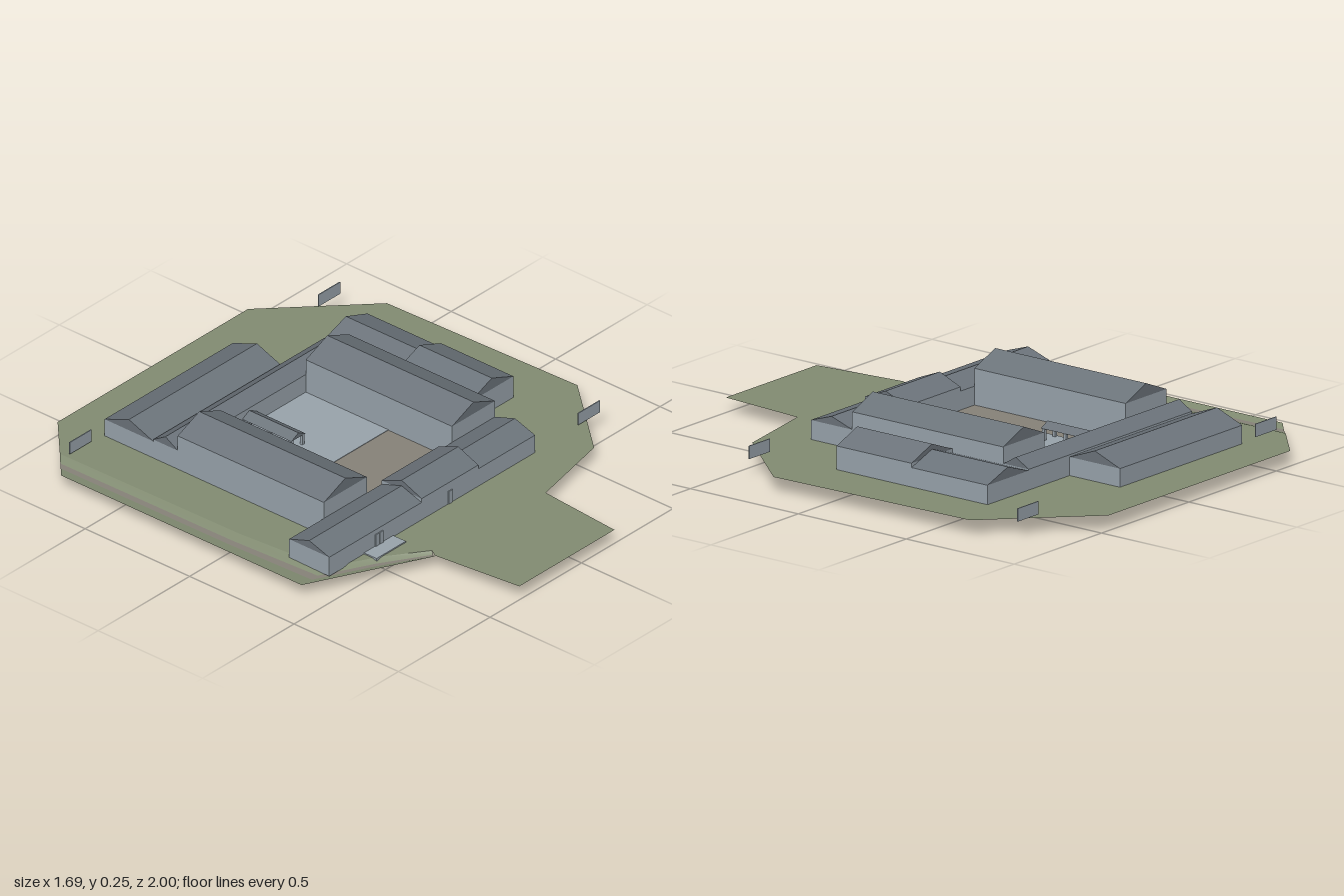
import * as THREE from 'three';

const mat = (name, color, side = THREE.FrontSide) => {
  const m = new THREE.MeshStandardMaterial({ color, side });
  m.name = name;
  return m;
};

export function createModel() {
  const root = new THREE.Group();
  root.name = 'courtyardCompound';
  const wall = mat('paleGreyWall', 0x9aa5ad);
  const roof = mat('slateRoof', 0x6c747b);
  const grass = mat('grass', 0x838d73, THREE.DoubleSide);
  const earth = mat('earth', 0x88837a, THREE.DoubleSide);
  const BASE = 0.05, GROUND = 0.057;

  const add = (parent, name, geo, material) => {
    const m = new THREE.Mesh(geo, material);
    m.name = name;
    parent.add(m);
    return m;
  };
  // Box given by its min and max on each axis
  const block = (parent, name, x0, x1, y0, y1, z0, z1, material = wall) => {
    const m = add(parent, name, new THREE.BoxGeometry(x1 - x0, y1 - y0, z1 - z0), material);
    m.position.set((x0 + x1) / 2, (y0 + y1) / 2, (z0 + z1) / 2);
    return m;
  };
  // Gabled prism whose ridge runs along x or z
  const gable = (parent, name, x0, x1, z0, z1, eave, ridge, axis) => {
    const span = axis === 'z' ? x1 - x0 : z1 - z0;
    const length = axis === 'z' ? z1 - z0 : x1 - x0;
    const s = new THREE.Shape();
    s.moveTo(-span / 2, 0).lineTo(span / 2, 0).lineTo(0, ridge - eave).closePath();
    const geo = new THREE.ExtrudeGeometry(s, { depth: length, bevelEnabled: false });
    geo.translate(0, 0, -length / 2);
    if (axis === 'x') geo.rotateY(Math.PI / 2);
    add(parent, name, geo, roof).position.set((x0 + x1) / 2, eave, (z0 + z1) / 2);
  };
  const house = (name, x0, x1, z0, z1, eave, ridge, axis) => {
    const g = new THREE.Group();
    g.name = name;
    block(g, 'walls', x0, x1, BASE, eave, z0, z1);
    gable(g, 'roof', x0, x1, z0, z1, eave, ridge, axis);
    root.add(g);
  };

  // Main buildings
  [
    ['westHall', -0.54, -0.305, -0.46, 0.24, 0.197, 0.246, 'z'],
    ['eastHall', 0.16, 0.395, -0.46, 0.24, 0.197, 0.246, 'z'],
    ['frontWestRange', -0.73, -0.225, 0.24, 0.432, 0.13, 0.162, 'x'],
    ['gateHouse', -0.225, 0.085, 0.24, 0.432, 0.146, 0.185, 'x'],
    ['frontEastRange', 0.085, 0.395, 0.24, 0.432, 0.13, 0.162, 'x'],
    ['crossRange', -0.54, 0.395, -0.577, -0.46, 0.135, 0.17, 'x'],
    ['backRange', -0.54, 0.16, -0.81, -0.577, 0.127, 0.172, 'x'],
    ['eastHouseFront', 0.395, 0.63, -0.225, 0.122, 0.146, 0.192, 'z'],
    ['eastHouseBack', 0.395, 0.63, -0.577, -0.225, 0.13, 0.172, 'z'],
  ].forEach((h) => house(...h));

  // Courtyard floor and the deep basin set into it
  block(root, 'courtyard', -0.305, 0.16, 0.052, 0.059, -0.46, 0.24, earth);
  block(root, 'basin', -0.19, 0.16, 0, 0.061, -0.46, -0.065);

  // Covered walk into the courtyard
  const walk = new THREE.Group();
  walk.name = 'coveredWalk';
  root.add(walk);
  gable(walk, 'roof', -0.187, -0.11, -0.46, -0.225, 0.105, 0.125, 'z');
  for (const x of [-0.185, -0.124])
    for (const z of [-0.24, -0.34, -0.44])
      block(walk, 'post', x, x + 0.012, 0.06, 0.105, z, z + 0.012);

  // Doors, step and free-standing boundary panels
  for (const [x0, x1] of [[-0.48, -0.46], [-0.458, -0.438], [-0.08, -0.06]])
    block(root, 'door', x0, x1, 0.058, 0.111, 0.432, 0.436);
  block(root, 'doorStep', -0.54, -0.38, 0.046, 0.062, 0.432, 0.492);
  for (const [x, z] of [[0.63, 0.432], [0.63, -0.812], [-0.73, -0.812]])
    block(root, 'boundaryPanel', x, x + 0.118, 0.066, 0.115, z - 0.002, z + 0.002);

  // Ditch stations: outer x, z and inner x, z
  const ditch = [
    [-0.845, -0.75, -0.74, -0.849], [-0.845, 0, -0.73, 0], [-0.845, 0.4, -0.7, 0.39],
    [-0.6, 0.521, -0.52, 0.485], [-0.38, 0.63, -0.36, 0.6],
  ];
  // Flat lawn
  const outline = [
    [-0.58, -1], [0.46, -1], [0.82, -0.65], [0.845, 0.24], [0.56, 0.57], [0.21, 0.645],
    [0.18, 1], [-0.34, 1], [-0.38, 0.63],
    ...ditch.map((d) => [d[2], d[3]]).reverse(),
  ];
  const lawn = new THREE.ShapeGeometry(new THREE.Shape(outline.map(([x, z]) => new THREE.Vector2(x, -z))));
  lawn.rotateX(-Math.PI / 2);
  add(root, 'lawn', lawn, grass).position.y = GROUND;

  // Shallow ditch with an earth path along its bed
  const rows = [[0, 0.053], [0.42, 0.046], [0.66, 0.046], [1, GROUND]];
  ['outerBank', 'ditchPath', 'innerBank'].forEach((name, r) => {
    const pos = [], idx = [];
    ditch.forEach(([ox, oz, ix, iz], i) => {
      for (const [f, y] of [rows[r], rows[r + 1]])
        pos.push(ox + (ix - ox) * f, y, oz + (iz - oz) * f);
      const a = i * 2;
      if (i < ditch.length - 1) idx.push(a, a + 2, a + 1, a + 1, a + 2, a + 3);
    });
    const geo = new THREE.BufferGeometry();
    geo.setAttribute('position', new THREE.Float32BufferAttribute(pos, 3));
    geo.setIndex(idx);
    geo.computeVertexNormals();
    add(root, name, geo, name === 'ditchPath' ? earth : grass);
  });

  return root;
}
